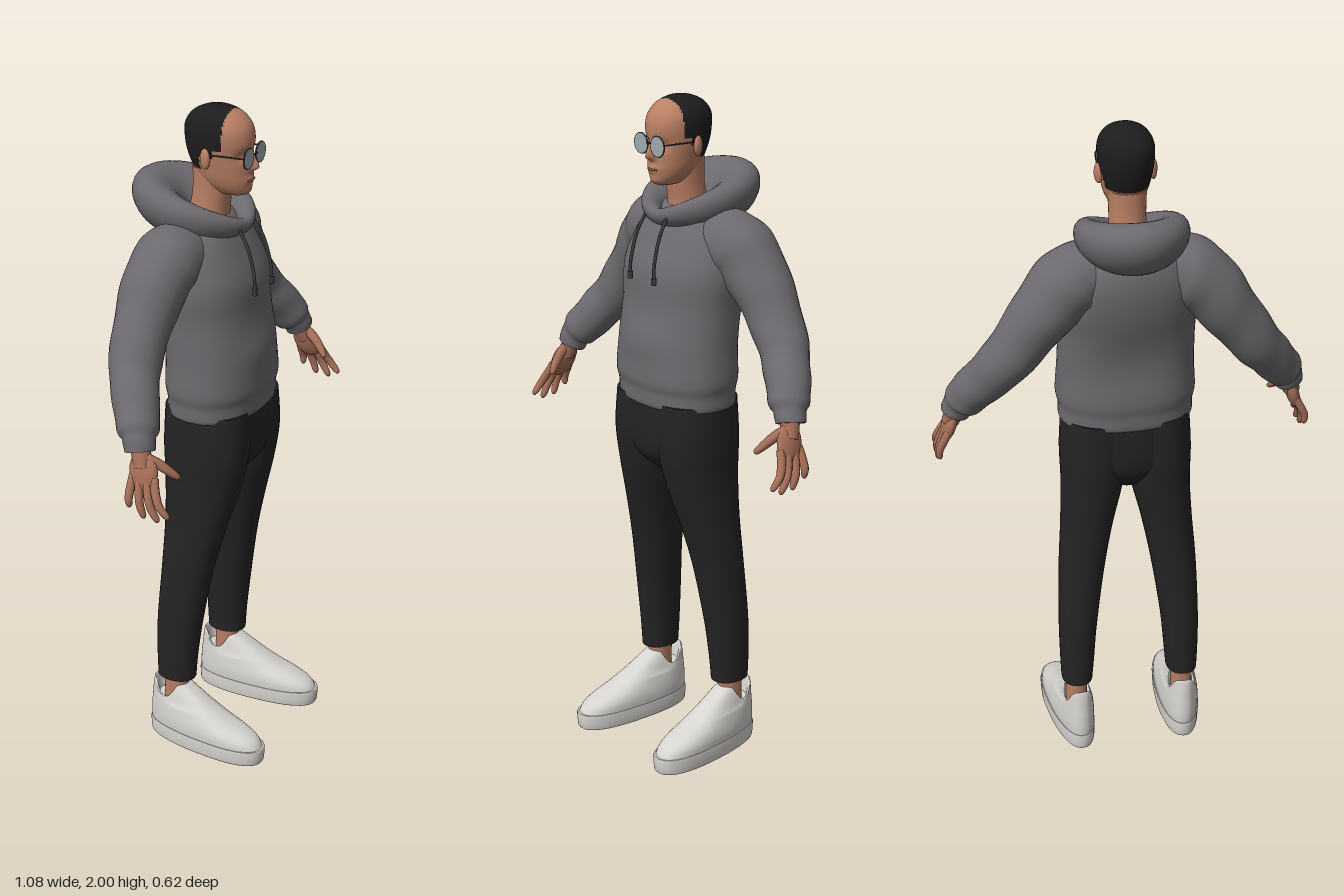
import * as THREE from 'three';

const mat = (name, color) => Object.assign(new THREE.MeshStandardMaterial({ color }), { name });
const TAU = Math.PI * 2;

// Catmull-Rom interpolation of rows of numbers
function smooth(rows, steps) {
  const out = [], n = rows.length - 1;
  for (let k = 0; k <= n * steps; k++) {
    const i = Math.min(Math.floor(k / steps), n - 1), t = k / steps - i;
    const [a, b, c, d] = [i - 1, i, i + 1, i + 2].map(j => rows[Math.max(0, Math.min(n, j))]);
    out.push(b.map((_, q) => 0.5 * (2 * b[q] + (c[q] - a[q]) * t + (2 * a[q] - 5 * b[q] + 4 * c[q] - d[q]) * t * t
      + (3 * b[q] - a[q] - 3 * c[q] + d[q]) * t * t * t)));
  }
  return out;
}

// Closed surface through rings of points, capped at both ends
function skin(rings, caps = true, isSecond) {
  const m = rings[0].length, pos = rings.flat().flatMap(p => [p.x, p.y, p.z]), first = [], second = [];
  for (let i = 0; i < rings.length - 1; i++) for (let j = 0; j < m; j++) {
    const k = (j + 1) % m, a = i * m + j, b = i * m + k, c = b + m, d = a + m;
    const mid = rings[i][j].clone().add(rings[i + 1][k]).multiplyScalar(0.5);
    (isSecond && isSecond(mid) ? second : first).push(a, b, c, a, c, d);
  }
  if (caps) for (const [ring, end] of [[rings[0], 0], [rings[rings.length - 1], 1]]) {
    const base = pos.length / 3, mid = new THREE.Vector3();
    ring.forEach(p => { mid.add(p); pos.push(p.x, p.y, p.z); });
    mid.divideScalar(m);
    pos.push(mid.x, mid.y, mid.z);
    const list = isSecond && isSecond(mid) ? second : first;
    for (let j = 0; j < m; j++) {
      const a = base + j, b = base + (j + 1) % m;
      list.push(...(end ? [a, b, base + m] : [b, a, base + m]));
    }
  }
  const g = new THREE.BufferGeometry();
  g.setAttribute('position', new THREE.Float32BufferAttribute(pos, 3));
  g.setIndex([...first, ...second]);
  if (isSecond) { g.addGroup(0, first.length, 0); g.addGroup(first.length, second.length, 1); }
  g.computeVertexNormals();
  return g;
}

const bend = (v, e) => Math.sign(v) * Math.abs(v) ** e;
// Horizontal ring; row = [y, cx, cz, rx, rz]
const ring = ([y, cx, cz, rx, rz], n = 40, e = 0.9, tweak) => Array.from({ length: n }, (_, j) => {
  const a = j / n * TAU;
  const p = new THREE.Vector3(cx + rx * bend(Math.sin(a), e), y, cz + rz * bend(Math.cos(a), e));
  if (tweak) tweak(p, a);
  return p;
});
const loft = (rows, steps = 6, n = 40, e = 0.9, tweak) => skin(smooth(rows, steps).map(r => ring(r, n, e, tweak)));

// Round tube along points [x, y, z, radius]
function tube(points, steps = 6, n = 16, ripple = 0) {
  const path = smooth(points, steps), at = i => new THREE.Vector3(...path[Math.max(0, Math.min(path.length - 1, i))]);
  return skin(path.map((p, i) => {
    const T = at(i + 1).sub(at(i - 1)).normalize();
    const N = new THREE.Vector3(0, 0, 1).addScaledVector(T, -T.z).normalize(), B = T.clone().cross(N);
    return Array.from({ length: n }, (_, j) => {
      const a = j / n * TAU, r = p[3] * (1 + ripple * Math.sin(i * 0.75 + Math.sin(a) * 1.5));
      return at(i).addScaledVector(N, r * Math.cos(a)).addScaledVector(B, r * Math.sin(a));
    });
  }));
}

export function createModel() {
  const model = new THREE.Group(), body = new THREE.Group();
  body.name = 'figure';
  body.position.set(-0.035, 0, -0.02);
  body.rotation.y = 0.4;
  model.add(body);
  const skinMat = mat('skin', 0xb97f63), handMat = mat('handSkin', 0xa56e57), hair = mat('hair', 0x1d1d1f);
  const cloth = mat('greyCloth', 0x6c6a6e), cord = mat('cord', 0x3b3a3d), trousers = mat('blackCloth', 0x242425);
  const white = mat('shoeWhite', 0xd6d4d0), lens = mat('lens', 0x9dabaf), metal = mat('frame', 0x333336);
  const lip = mat('lips', 0x8f584a);
  const add = (name, geo, material) => {
    const m = new THREE.Mesh(geo, material);
    m.name = name;
    body.add(m);
    return m;
  };
  const bump = (v, c, w) => Math.exp(-(((v - c) / w) ** 2));

  // Hooded top: torso with hem band and front pocket
  add('torso', loft([
    [1.1, 0, 0, 0.185, 0.125], [1.11, 0, 0, 0.197, 0.136], [1.15, 0, 0, 0.198, 0.138], [1.19, 0, 0, 0.205, 0.144],
    [1.28, 0, -0.005, 0.2, 0.14], [1.4, 0, -0.02, 0.198, 0.14], [1.5, 0, -0.035, 0.205, 0.147],
    [1.58, 0, -0.055, 0.19, 0.135], [1.65, 0, -0.065, 0.145, 0.11], [1.69, 0, -0.06, 0.08, 0.07]
  ], 6, 56, 0.88, p => {
    if (p.z > 0.05) p.z += 0.012 * bump(p.y, 1.3, 0.06) * bump(p.x, 0, 0.11);
    if (p.z < -0.08) p.z += 0.012 * bump(p.y, 1.33, 0.08) * bump(p.x, 0, 0.12);
  }), cloth);

  // Hood resting round the neck, thick at the back and thin at the front
  add('hood', skin(Array.from({ length: 25 }, (_, i) => {
    const b = -Math.PI / 2 + i / 24 * TAU;
    return Array.from({ length: 48 }, (_, j) => {
      const f = j / 48 * TAU, k = (1 - Math.cos(f)) / 2;
      const r = (0.025 + 0.05 * k) * Math.cos(b) + (0.008 + 0.022 * k) * Math.sin(b);
      return new THREE.Vector3((0.105 + r) * Math.sin(f), 1.655 + 0.05 * k ** 0.6 + (0.025 + 0.06 * k ** 0.7) * Math.sin(b),
        -0.0625 + (0.1275 + r) * Math.cos(f));
    });
  }), false), cloth);

  // Trousers seat
  add('trouserSeat', loft([[0.89, 0, -0.005, 0.05, 0.07], [0.94, 0, 0, 0.13, 0.115], [1.0, 0, 0, 0.175, 0.13],
    [1.13, 0, 0, 0.185, 0.13]]), trousers);

  for (const s of [1, -1]) {
    const side = s > 0 ? 'left' : 'right', flip = pts => pts.map(([x, ...rest]) => [s * x, ...rest]);
    // Sleeve, cuff and wrist
    add(side + 'Sleeve', tube(flip([[0.08, 1.585, -0.065, 0.085], [0.15, 1.585, -0.075, 0.1], [0.21, 1.545, -0.088, 0.098],
      [0.285, 1.45, -0.093, 0.085], [0.365, 1.34, -0.08, 0.074], [0.425, 1.265, -0.045, 0.066], [0.47, 1.205, -0.012, 0.06],
      [0.487, 1.18, 0, 0.047], [0.498, 1.15, 0.008, 0.043]]), 7, 28, 0.022), cloth);
    add(side + 'Wrist', tube(flip([[0.48, 1.2, -0.005, 0.03], [0.497, 1.155, 0.01, 0.028], [0.512, 1.11, 0.025, 0.026]])), handMat);
    // Palm and fingers
    const palm = add(side + 'Palm', new THREE.SphereGeometry(1, 24, 16).scale(0.02, 0.06, 0.044), handMat);
    palm.position.set(s * 0.515, 1.1, 0.028);
    palm.quaternion.setFromUnitVectors(new THREE.Vector3(0, -1, 0), new THREE.Vector3(s * 0.03, -0.095, 0.025).normalize());
    [[0, 1.0], [0.045, 0.977], [0.088, 0.974], [0.12, 0.99]].forEach(([z, y], i) => {
      const z0 = -0.002 + i * 0.023;
      add(side + 'Finger' + (i + 1), tube(flip([[0.52, 1.09, z0, 0.011], [0.535, 1.06, z0 * 0.85 + z * 0.15, 0.0125],
        [0.549, (1.06 + y) / 2, (z0 + z) / 2, 0.0115], [0.549, y + 0.008, z * 0.95 + z0 * 0.05, 0.009],
        [0.546, y, z, 0.003]]), 4, 10), handMat);
    });
    add(side + 'Thumb', tube(flip([[0.505, 1.14, 0.03, 0.014], [0.492, 1.12, 0.065, 0.015], [0.477, 1.095, 0.095, 0.012],
      [0.467, 1.08, 0.11, 0.008], [0.465, 1.077, 0.113, 0.003]]), 4, 10), handMat);

    // Drawstring with knotted end
    add(side + 'Drawstring', tube(flip([[0.045, 1.67, 0.072, 0.005], [0.05, 1.61, 0.108, 0.005], [0.052, 1.54, 0.128, 0.005],
      [0.053, 1.5, 0.132, 0.005], [0.053, 1.495, 0.132, 0.008], [0.053, 1.475, 0.132, 0.008]]), 4, 8), cord);

    // Trouser leg
    add(side + 'TrouserLeg', loft([[0.22, s * 0.165, -0.072, 0.047, 0.06], [0.3, s * 0.163, -0.07, 0.052, 0.064],
      [0.42, s * 0.158, -0.062, 0.058, 0.071], [0.6, s * 0.142, -0.042, 0.068, 0.08], [0.75, s * 0.122, -0.022, 0.077, 0.097],
      [0.88, s * 0.103, -0.007, 0.09, 0.118], [1.0, s * 0.095, 0, 0.1, 0.131], [1.12, s * 0.088, 0, 0.1, 0.128]], 6, 32), trousers);
    add(side + 'Ankle', loft([[0.1, s * 0.167, -0.072, 0.036, 0.042], [0.17, s * 0.167, -0.072, 0.032, 0.038],
      [0.26, s * 0.165, -0.072, 0.037, 0.042]], 4, 24), skinMat);

    // Shoe: sole and upper share an egg-shaped outline, rows are [y, front, back, halfWidth]
    const shoe = new THREE.Group();
    shoe.name = side + 'Shoe';
    shoe.position.set(s * 0.175, 0, 0.035);
    shoe.rotation.y = s * 0.08;
    body.add(shoe);
    const part = (name, rows, steps) => {
      const geo = loft(rows.map(([y, f, b, w]) => [y, 0, (f + b) / 2, w, (f - b) / 2]), steps, 40, 0.85, (p, a) => {
        p.x *= 1 + 0.1 * Math.cos(a);
        if (p.y > 0.13) p.y -= (p.y - 0.13) * 0.7 * Math.abs(Math.sin(a)) ** 4;
      });
      const m = new THREE.Mesh(geo, white);
      m.name = name;
      shoe.add(m);
    };
    part('sole', [[0, 0.193, -0.192, 0.06], [0.006, 0.2, -0.198, 0.065], [0.046, 0.203, -0.2, 0.067], [0.05, 0.2, -0.198, 0.065]], 2);
    part('upper', [[0.045, 0.197, -0.196, 0.063], [0.07, 0.18, -0.197, 0.064], [0.09, 0.143, -0.196, 0.062],
      [0.115, 0.08, -0.194, 0.057], [0.14, 0.03, -0.191, 0.052], [0.17, -0.02, -0.188, 0.047], [0.2, -0.072, -0.182, 0.043],
      [0.196, -0.08, -0.174, 0.038], [0.15, -0.085, -0.165, 0.034]], 5);

    // Ear, lens, rim and temple arm
    const ear = add(side + 'Ear', new THREE.SphereGeometry(1, 16, 12).scale(0.01, 0.03, 0.018), skinMat);
    ear.position.set(s * 0.078, 1.862, -0.012);
    ear.rotation.y = s * 0.35;
    add(side + 'Lens', new THREE.CylinderGeometry(0.028, 0.028, 0.005, 32).rotateX(Math.PI / 2), lens).position.set(s * 0.036, 1.868, 0.102);
    add(side + 'Rim', new THREE.TorusGeometry(0.0285, 0.0025, 8, 32), metal).position.set(s * 0.036, 1.868, 0.102);
    const arm = add(side + 'GlassesArm', new THREE.BoxGeometry(0.003, 0.004, 0.115), metal);
    arm.position.set(s * 0.073, 1.875, 0.046);
    arm.rotation.y = -s * 0.13;
  }
  add('glassesBridge', new THREE.BoxGeometry(0.018, 0.004, 0.004), metal).position.set(0, 1.874, 0.106);

  // Neck
  add('neck', loft([[1.62, 0, -0.05, 0.065, 0.07], [1.69, 0, -0.04, 0.055, 0.058], [1.75, 0, -0.03, 0.052, 0.056],
    [1.82, 0, -0.025, 0.055, 0.06]], 4, 32), skinMat);

  // Head with nose, brow and chin; hair covers the crown, sides and back
  const headRows = [[1.748, 0.018, 0.066, 0.01], [1.755, 0.034, 0.082, -0.02], [1.775, 0.05, 0.09, -0.05], [1.8, 0.061, 0.092, -0.07],
    [1.83, 0.068, 0.092, -0.087], [1.87, 0.075, 0.092, -0.102], [1.91, 0.079, 0.097, -0.108], [1.945, 0.077, 0.09, -0.106],
    [1.975, 0.061, 0.066, -0.086], [1.993, 0.035, 0.03, -0.052], [2, 0.008, -0.003, -0.017]]
    .map(([y, w, f, b]) => [y, 0, (f + b) / 2, w, (f - b) / 2]);
  const isHair = p => p.y > 1.89 ? p.z < 0.036 : p.y > 1.865 ? p.z < 0.012 : p.y > 1.825 && p.z < -0.035;
  add('head', skin(smooth(headRows, 7).map(r => ring(r, 96, 0.95, p => {
    if (p.z < 0.03) return;
    const nose = p.y > 1.835 ? bump(p.y, 1.835, 0.035) : bump(p.y, 1.835, 0.011);
    p.z += 0.026 * nose * bump(p.x, 0, 0.012) + 0.006 * bump(p.y, 1.797, 0.012) * bump(p.x, 0, 0.025)
      - 0.009 * bump(p.y, 1.868, 0.015) * bump(Math.abs(p.x), 0.034, 0.018) + 0.004 * bump(p.y, 1.765, 0.01) * bump(p.x, 0, 0.02);
  })), true, isHair), [skinMat, hair]);
  add('mouth', new THREE.SphereGeometry(1, 16, 8).scale(0.021, 0.0045, 0.008), lip).position.set(0, 1.797, 0.092);

  return model;
}
